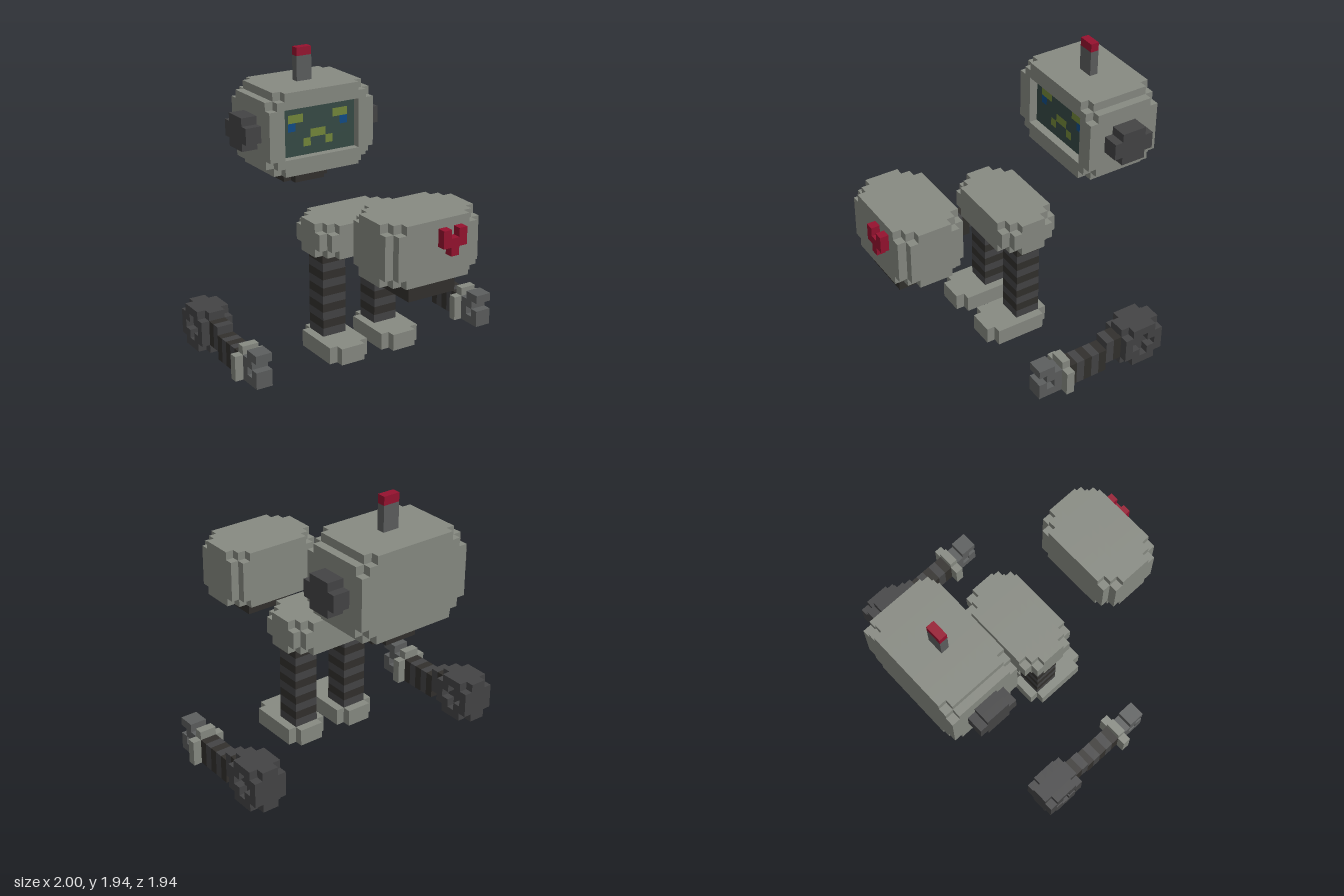
import * as THREE from 'three';

const V = 1 / 17; // edge length of one block
const mats = {};
const paint = (c) => (mats[c] ??= new THREE.MeshStandardMaterial({ color: c, flatShading: true }));
const SHELL = 0x878a82, DARK = 0x444445, RUBBER = 0x32302d, STEEL = 0x5c5e5e, RED = 0x96122f;
const SCREEN = 0x364a45, GREEN = 0x74883a, BLUE = 0x0f4c88;

// Mesh of the outer faces of all blocks in a range that pass keep(dx, dy, dz, x, y, z),
// where dx, dy, dz count blocks from the nearest end of the range.
function blocks(parent, name, color, [x0, x1, y0, y1, z0, z1], keep = () => true) {
  const lo = [x0, y0, z0], n = [x1 - x0, y1 - y0, z1 - z0];
  const filled = (c) => c.every((v, i) => v >= 0 && v < n[i]) &&
    keep(...c.map((v, i) => Math.min(v, n[i] - 1 - v)), ...c.map((v, i) => v + lo[i]));
  const pos = [];
  for (let i = 0; i < n[0]; i++) for (let j = 0; j < n[1]; j++) for (let k = 0; k < n[2]; k++) {
    const c = [i, j, k];
    if (!filled(c)) continue;
    for (let a = 0; a < 3; a++) for (const s of [0, 1]) {
      const next = c.slice();
      next[a] += s ? 1 : -1;
      if (filled(next)) continue;
      const b = (a + 1) % 3, d = (a + 2) % 3;
      const corner = (u, v) => {
        const p = c.slice();
        p[a] += s; p[b] += u; p[d] += v;
        return p.map((q, m) => (q + lo[m]) * V);
      };
      const q = [corner(0, 0), corner(1, 0), corner(1, 1), corner(0, 1)];
      if (!s) q.reverse();
      for (const m of [0, 1, 2, 0, 2, 3]) pos.push(...q[m]);
    }
  }
  const g = new THREE.BufferGeometry();
  g.setAttribute('position', new THREE.Float32BufferAttribute(pos, 3));
  g.computeVertexNormals();
  const mesh = new THREE.Mesh(g, paint(color));
  mesh.name = name;
  parent.add(mesh);
}

// Corner rules
const notchY = (dx, dy, dz) => dx + dz >= 1;
const roundedY = (dx, dy, dz) => dx + dz >= (dy === 0 ? 2 : 1);
const roundedZ = (dx, dy, dz) => dx + dy >= (dz === 0 ? 2 : 1);

function group(parent, name) {
  const g = new THREE.Group();
  g.name = name;
  parent.add(g);
  return g;
}

function buildHead(root) {
  const head = group(root, 'head');
  // Shell with an opening for the screen
  blocks(head, 'headShell', SHELL, [-7, 7, 19, 29, -16.5, -7.5], (dx, dy, dz, x, y, z) =>
    roundedZ(dx, dy, dz) && !(z > -10 && dx >= 2 && y >= 21 && y < 27));
  // Screen one block deep in the frame, with a pixel face
  const face = ['..........', '.GG....GG.', '.B......B.', '....GG....', '...G..G...', '..........'];
  for (const [name, key, color] of [['screen', '.', SCREEN], ['browsAndMouth', 'G', GREEN], ['eyes', 'B', BLUE]])
    blocks(head, name, color, [-5, 5, 21, 27, -9.5, -8.5], (dx, dy, dz, x, y) => face[26 - y][x + 5] === key);
  for (const [name, x] of [['leftEar', 7], ['rightEar', -9]])
    blocks(head, name, DARK, [x, x + 2, 22, 26, -14.5, -9.5], (dx, dy, dz) => dy + dz >= 1);
  blocks(head, 'antenna', STEEL, [-1, 1, 29, 32, -12.5, -11.5]);
  blocks(head, 'antennaTip', RED, [-1, 1, 32, 33, -12.5, -11.5]);
  blocks(head, 'neck', RUBBER, [-3, 3, 17, 19, -14.5, -10.5], notchY);
}

function buildTorso(root) {
  const torso = group(root, 'torso');
  blocks(torso, 'chest', SHELL, [-6, 6, 13, 20, 7.5, 15.5], roundedY);
  blocks(torso, 'waist', RUBBER, [-3, 3, 11, 13, 9.5, 14.5]);
  const heart = ['R.R', 'RRR', '.R.'];
  blocks(torso, 'heart', RED, [0, 3, 16, 19, 15.5, 16.5], (dx, dy, dz, x, y) => heart[18 - y][x] === 'R');
}

function buildLegs(root) {
  const lower = group(root, 'lowerBody');
  blocks(lower, 'hips', SHELL, [-6, 6, 12, 16, -4.5, 2.5], roundedY);
  for (const [name, x] of [['leftLeg', 1], ['rightLeg', -6]]) {
    const leg = group(lower, name);
    blocks(leg, 'foot', SHELL, [x, x + 5, 0, 2, -3.5, 4.5], notchY);
    // Ribbed leg
    for (let y = 2; y < 12; y++)
      blocks(leg, 'legRing', y % 2 ? RUBBER : DARK, [x + 1, x + 4, y, y + 1, -2.5, 0.5]);
  }
}

function buildArm(root, name, x) {
  const arm = group(root, name);
  // Shoulder with a plus-shaped recess on each side
  blocks(arm, 'shoulder', DARK, [x, x + 4, 0, 5, -11.5, -6.5], (dx, dy, dz) =>
    dx > 0 || (dy + dz >= 1 && !(dy + dz >= 3)));
  // Ribbed upper arm and lower forearm
  for (let i = 0; i < 7; i++) {
    const z = -6.5 + i, y = i < 2 ? 1 : 0;
    blocks(arm, 'armRing', i % 2 ? DARK : RUBBER, [x + 1, x + 3, y, y + 3, z, z + 1]);
  }
  blocks(arm, 'cuff', SHELL, [x, x + 4, 0, 4, 0.5, 1.5], (dx, dy, dz, bx, y) => dx > 0 || y < 3);
  // Hooked hand, drawn from the side: columns run forward, rows run down
  const hand = ['.HH', 'HH.', 'H.H', 'HHH'];
  blocks(arm, 'hand', STEEL, [x + 1, x + 3, 0, 4, 1.5, 4.5], (dx, dy, dz, bx, y, z) => hand[3 - y][z - 1.5] === 'H');
}

export function createModel() {
  const root = new THREE.Group();
  root.name = 'robot';
  buildHead(root);
  buildTorso(root);
  buildLegs(root);
  buildArm(root, 'leftArm', 13);
  buildArm(root, 'rightArm', -17);
  return root;
}
